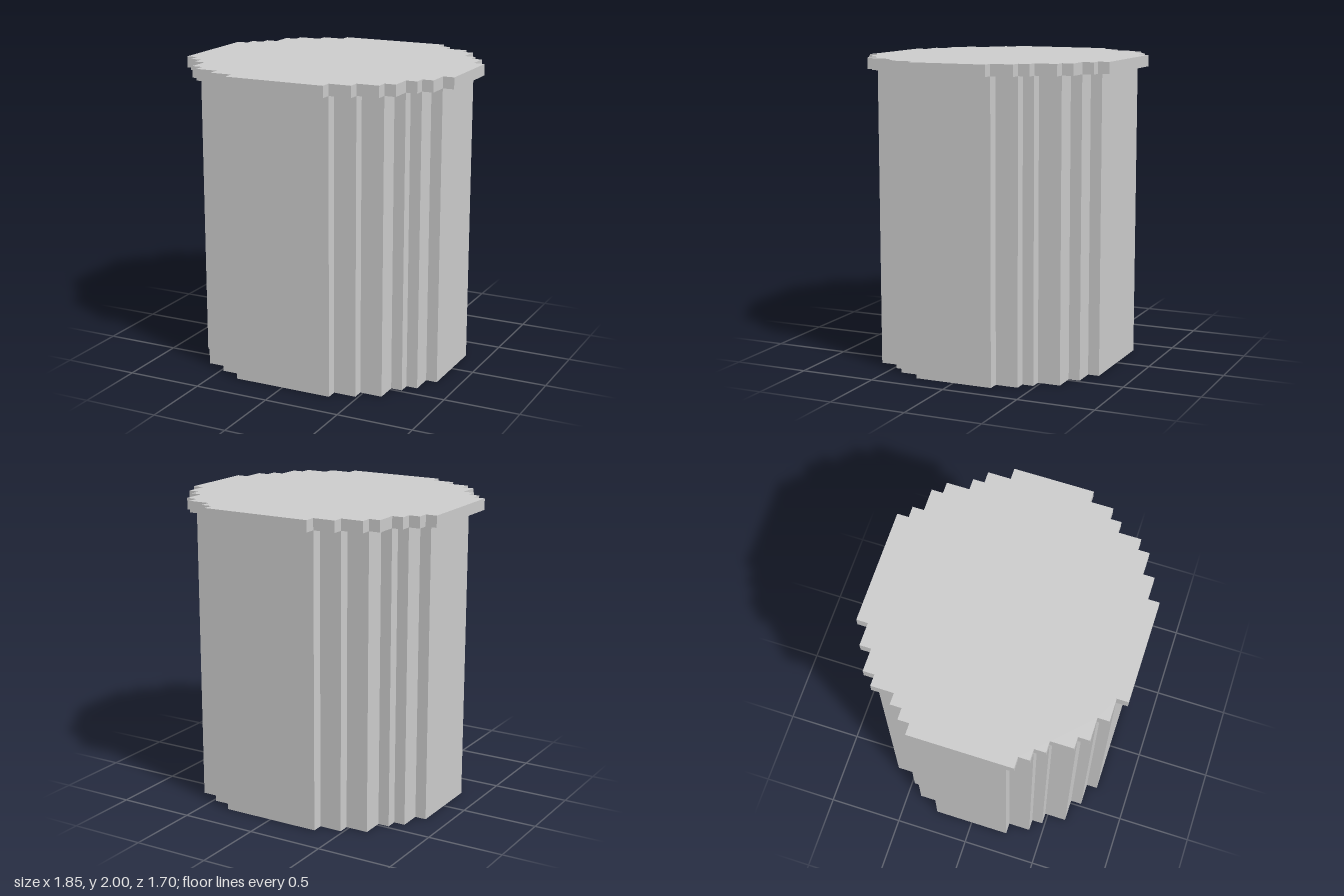
import * as THREE from 'three';

const U = 2 / 27; // one block step

// Corner staircases as [x, z] outer corners, from the front/back edge to the side
const bodyStair = [[4.5, 10.5], [6.5, 9.5], [8.5, 8.5], [9.5, 6.5], [10.5, 5.5], [11.5, 3.5]];
const lidStair = (frontX, sideZ) => [
  [frontX, 11.5], [6.5, 10.5], [8.5, 9.5], [9.5, 8.5], [10.5, 6.5], [11.5, 5.5], [12.5, sideZ],
];

// Expand outer corners into a stepped line, adding the inner corners
function steps(stair) {
  const line = [];
  stair.forEach(([x, z], i) => {
    if (i) line.push([stair[i - 1][0], z]);
    line.push([x, z]);
  });
  return line;
}

// Join four corner staircases into one outline and extrude it upwards
function steppedSlab(name, corners, bottom, height, material) {
  const signs = [[1, 1], [1, -1], [-1, -1], [-1, 1]];
  const outline = [];
  corners.forEach((stair, i) => {
    const [sx, sz] = signs[i];
    const line = steps(stair).map(([x, z]) => new THREE.Vector2(x * sx * U, -z * sz * U));
    outline.push(...(i % 2 ? line.reverse() : line));
  });
  const geometry = new THREE.ExtrudeGeometry(new THREE.Shape(outline), {
    depth: height * U, bevelEnabled: false,
  });
  geometry.rotateX(-Math.PI / 2);
  geometry.translate(0, bottom * U, 0);
  const mesh = new THREE.Mesh(geometry, material);
  mesh.name = name;
  return mesh;
}

export function createModel() {
  const group = new THREE.Group();
  group.name = 'steppedDrum';
  const material = new THREE.MeshStandardMaterial({ color: 0xcccccc, flatShading: true });

  // Tall body, the same in all four corners
  group.add(steppedSlab('body', Array(4).fill(bodyStair), 0, 26, material));

  // Thin overhanging top, slightly uneven: front +x, back +x, back -x, front -x
  const lidCorners = [lidStair(4.5, 3.5), lidStair(5.5, 3.5), lidStair(4.5, 4.5), lidStair(4.5, 4.5)];
  group.add(steppedSlab('topSlab', lidCorners, 26, 1, material));

  return group;
}
